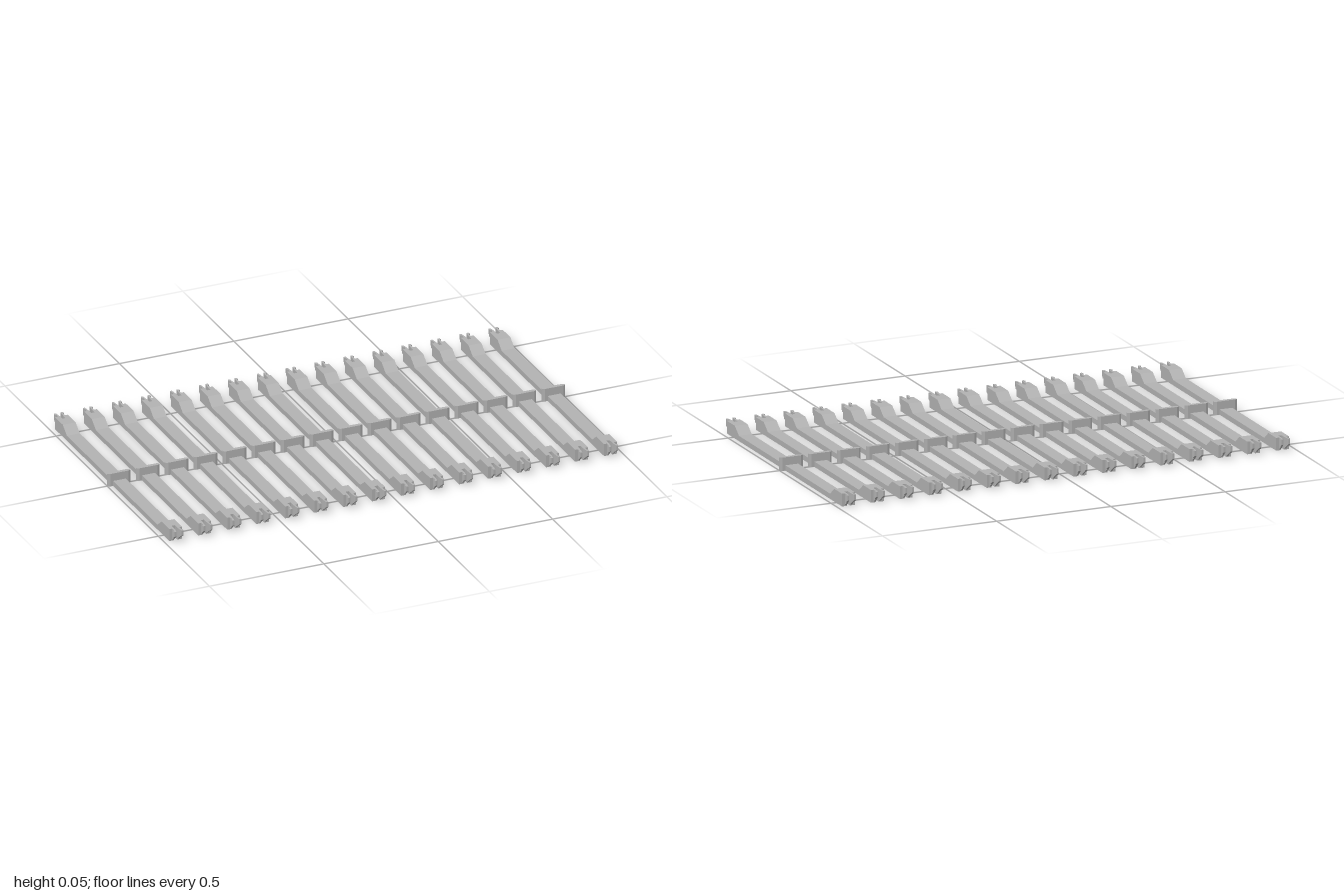
import * as THREE from 'three';

const COUNT = 16, PITCH = 0.1267;
const HALF_W = 0.028, TOP = 0.053, LOW = 0.022;

const polygon = (pts) => new THREE.Shape(pts.map(([x, y]) => new THREE.Vector2(x, y)));
const extrude = (pts, depth) =>
  new THREE.ExtrudeGeometry(polygon(pts), { depth, bevelEnabled: false });

// Side profile (z, y) pulled across the width: thin middle, raised ends
function slatGeometry() {
  const half = [[0.535, 0], [0.535, TOP], [0.483, TOP], [0.443, LOW]];
  const pts = [...half, ...half.slice().reverse().map(([z, y]) => [-z, y])];
  const g = extrude(pts, HALF_W * 2);
  g.translate(0, 0, -HALF_W);
  return g.rotateY(-Math.PI / 2);
}

// Plan outline (x, z) pulled upwards
function planGeometry(pts, height) {
  const g = extrude(pts.map(([x, z]) => [x, -z]), height);
  return g.rotateX(-Math.PI / 2);
}

// Barbed clip prong whose underside slopes up to the tip
function prongGeometry() {
  const g = planGeometry([
    [0.007, 0.559], [0.016, 0.559], [0.015, 0.577], [0.021, 0.58],
    [0.019, 0.591], [0.011, 0.591], [0.009, 0.577],
  ], TOP);
  const p = g.attributes.position;
  for (let i = 0; i < p.count; i++) {
    if (p.getY(i) < 0.01) p.setY(i, 0.004 + (p.getZ(i) - 0.559) * 0.85);
  }
  g.computeVertexNormals();
  return g;
}

export function createModel() {
  const model = new THREE.Group();
  model.name = 'slatRack';
  const grey = new THREE.MeshStandardMaterial({ color: 0xb2b2b2 });
  grey.name = 'grey';

  const slat = slatGeometry();
  const cheek = planGeometry([[0.007, 0.535], [HALF_W, 0.535], [HALF_W, 0.559], [0.007, 0.559]], TOP);
  const prong = prongGeometry();
  const spacer = planGeometry([
    [-0.05, -0.004], [-0.04, -0.008], [0.04, -0.008], [0.05, -0.004],
    [0.05, 0.004], [0.04, 0.008], [-0.04, 0.008], [-0.05, 0.004],
  ], 0.055);

  const add = (parent, geometry, name) => {
    const mesh = new THREE.Mesh(geometry, grey);
    mesh.name = name;
    parent.add(mesh);
    return mesh;
  };

  // Mirrored copies of a +x, +z part, with winding kept outward
  const mirrored = (geometry, sx) => {
    if (sx > 0) return geometry;
    const g = geometry.clone().scale(-1, 1, 1);
    for (const a of Object.values(g.attributes)) {
      const n = a.itemSize, arr = a.array;
      for (let t = 0; t < a.count; t += 3) {
        for (let k = 0; k < n; k++) {
          const i = (t + 1) * n + k, j = (t + 2) * n + k;
          [arr[i], arr[j]] = [arr[j], arr[i]];
        }
      }
    }
    g.computeVertexNormals();
    return g;
  };
  const cheeks = [cheek, mirrored(cheek, -1)];
  const prongs = [prong, mirrored(prong, -1)];

  for (let i = 0; i < COUNT; i++) {
    const unit = new THREE.Group();
    unit.name = 'slatUnit';
    unit.position.x = (i - (COUNT - 1) / 2) * PITCH;
    add(unit, slat, 'slat');
    add(unit, spacer, 'spacerTab');
    // Slotted clip at each end
    for (const turn of [0, Math.PI]) {
      const clip = new THREE.Group();
      clip.name = 'endClip';
      clip.rotation.y = turn;
      cheeks.forEach((g) => add(clip, g, 'clipCheek'));
      prongs.forEach((g) => add(clip, g, 'clipProng'));
      unit.add(clip);
    }
    model.add(unit);
  }
  return model;
}
